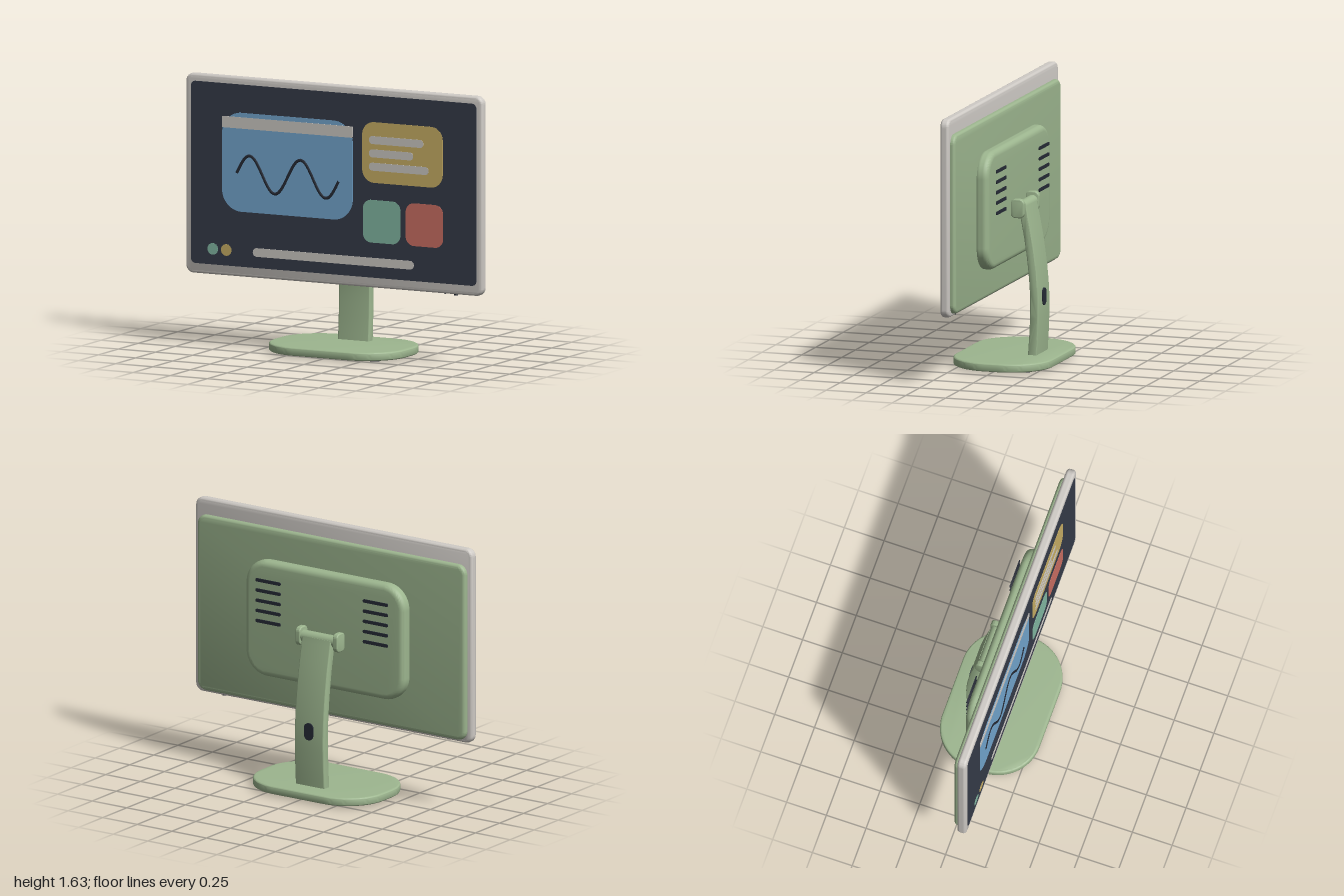
import * as THREE from 'three';
import { toCreasedNormals } from 'three/addons/utils/BufferGeometryUtils.js';

const paint = (name, color) => {
  const m = new THREE.MeshStandardMaterial({ color });
  m.name = name;
  return m;
};

// Rounded rectangle centred on the origin
function roundRect(w, h, r) {
  const s = new THREE.Shape(), x = w / 2 - r, y = h / 2 - r;
  s.absarc(x, y, r, 0, Math.PI / 2);
  s.absarc(-x, y, r, Math.PI / 2, Math.PI);
  s.absarc(-x, -y, r, Math.PI, Math.PI * 1.5);
  s.absarc(x, -y, r, Math.PI * 1.5, Math.PI * 2);
  s.closePath();
  return s;
}

// Rounded slab centred on the origin, d thick along z, with soft edges of radius b
function slab(w, h, d, r, b) {
  const g = new THREE.ExtrudeGeometry(roundRect(w - 2 * b, h - 2 * b, Math.max(r - b, 0.001)), {
    depth: d - 2 * b, bevelEnabled: b > 0, bevelSize: b, bevelThickness: b, bevelSegments: 5, curveSegments: 12,
  });
  g.translate(0, 0, -(d - 2 * b) / 2);
  return toCreasedNormals(g, 0.6);
}

export function createModel() {
  const green = paint('sage green', 0x9db68f);
  const light = paint('warm light grey', 0xcfcbc6);
  const dark = paint('screen navy', 0x363c49);
  const ink = paint('dark ink', 0x262b36);
  const blue = paint('window blue', 0x74a7d0);
  const yellow = paint('mustard', 0xcab066);
  const teal = paint('mint', 0x84baa4);
  const red = paint('coral', 0xcd7064);

  const model = new THREE.Group();
  const display = new THREE.Group();
  display.name = 'display';
  const stand = new THREE.Group();
  stand.name = 'stand';
  model.add(display, stand);
  const add = (parent, name, geo, mat, x = 0, y = 0, z = 0) => {
    const m = new THREE.Mesh(geo, mat);
    m.name = name;
    m.position.set(x, y, z);
    parent.add(m);
    return m;
  };

  // Display housing
  add(display, 'bezel', slab(2, 1.2, 0.056, 0.05, 0.018), light, 0, 1.028, 0.097);
  add(display, 'backShell', slab(1.94, 1.085, 0.05, 0.06, 0.022), green, 0, 0.988, 0.065);
  add(display, 'rearHousing', slab(1.15, 0.715, 0.09, 0.15, 0.035), green, 0, 0.987, 0.015);
  add(display, 'screen', slab(1.92, 1.095, 0.006, 0.03, 0), dark, 0, 1.037, 0.1245);

  // Painted screen items: edges x0..x1, y0..y1, front face at z
  const item = (name, mat, x0, x1, y0, y1, r, z) =>
    add(display, name, slab(x1 - x0, y1 - y0, 0.003, r, 0), mat, (x0 + x1) / 2, (y0 + y1) / 2, z - 0.0015);
  item('window', blue, -0.75, 0.13, 0.82, 1.415, 0.13, 0.1295);
  item('windowTitleBar', light, -0.75, 0.13, 1.32, 1.388, 0.006, 0.1315);
  item('noteCard', yellow, 0.193, 0.735, 1.06, 1.425, 0.08, 0.1295);
  [[0.605, 1.317], [0.537, 1.237], [0.64, 1.157]].forEach(([x1, y]) =>
    item('noteLine', light, 0.24, x1, y - 0.024, y + 0.024, 0.022, 0.1315));
  item('mintTile', teal, 0.198, 0.45, 0.7, 0.957, 0.055, 0.1295);
  item('coralTile', red, 0.486, 0.738, 0.7, 0.957, 0.055, 0.1295);
  item('taskBar', light, -0.543, 0.54, 0.557, 0.609, 0.025, 0.1295);
  item('mintDot', teal, -0.848, -0.778, 0.548, 0.618, 0.0345, 0.1295);
  item('mustardDot', yellow, -0.757, -0.687, 0.548, 0.618, 0.0345, 0.1295);

  // Wave line in the window
  const wave = [];
  for (let i = 0; i <= 48; i++) {
    const t = i / 48;
    wave.push(new THREE.Vector3(-0.65 + 0.685 * t, 1.052 + 0.108 * Math.sin(t * Math.PI * 4), 0));
  }
  const waveGeo = new THREE.TubeGeometry(new THREE.CatmullRomCurve3(wave), 120, 0.009, 8);
  waveGeo.scale(1, 1, 0.5);
  add(display, 'waveLine', waveGeo, ink, 0, 0, 0.131);

  // Rear vent slots on both sides
  const ventGeo = slab(0.18, 0.02, 0.006, 0.009, 0);
  for (const side of [-1, 1])
    for (let i = 0; i < 5; i++)
      add(display, 'ventSlot', ventGeo, ink, side * 0.388, 0.977 + i * 0.063, -0.051);

  // Small controls under the bezel
  add(display, 'powerButton', new THREE.CylinderGeometry(0.012, 0.012, 0.012, 16), ink, 0.81, 0.427, 0.1);
  add(display, 'statusLight', new THREE.CylinderGeometry(0.005, 0.005, 0.01, 12), ink, 0.737, 0.427, 0.1);

  // Hinge: two ears and a barrel
  for (const side of [-1, 1])
    add(stand, 'hingeEar', slab(0.085, 0.115, 0.035, 0.03, 0.008), green, side * 0.135, 0.948, -0.068)
      .rotation.y = Math.PI / 2;
  const barrel = new THREE.CylinderGeometry(0.036, 0.036, 0.25, 24);
  barrel.rotateZ(Math.PI / 2);
  add(stand, 'hingeBarrel', barrel, green, 0, 0.948, -0.07);

  // Curved arm: side outline offset from a spine, extruded across x
  const spine = new THREE.SplineCurve([[-0.145, 0.04], [-0.155, 0.2], [-0.159, 0.38], [-0.147, 0.56], [-0.122, 0.75], [-0.085, 0.945]]
    .map(([z, y]) => new THREE.Vector2(z, y)));
  const bevel = 0.008, front = [], back = [];
  for (let i = 0; i <= 24; i++) {
    const p = spine.getPoint(i / 24), t = spine.getTangent(i / 24);
    const half = 0.028 - 0.004 * (i / 24) - bevel;
    front.push(new THREE.Vector2(p.x + t.y * half, p.y - t.x * half));
    back.unshift(new THREE.Vector2(p.x - t.y * half, p.y + t.x * half));
  }
  const armGeo = new THREE.ExtrudeGeometry(new THREE.Shape([...front, ...back]), {
    depth: 0.21 - 2 * bevel, bevelSize: bevel, bevelThickness: bevel, bevelSegments: 4,
  });
  armGeo.translate(0, 0, -(0.105 - bevel));
  armGeo.rotateY(-Math.PI / 2);
  add(stand, 'arm', toCreasedNormals(armGeo, 0.6), green);
  add(stand, 'cableSlot', slab(0.066, 0.105, 0.012, 0.032, 0), ink, 0, 0.4, -0.184);

  // Base with four feet
  add(stand, 'base', slab(0.89, 0.61, 0.05, 0.26, 0.012), green, 0, 0.035, 0).rotation.x = -Math.PI / 2;
  const footGeo = new THREE.CylinderGeometry(0.032, 0.032, 0.014, 24);
  for (const x of [-0.305, 0.305])
    for (const z of [-0.18, 0.18]) add(stand, 'foot', footGeo, ink, x, 0.007, z);

  return model;
}
